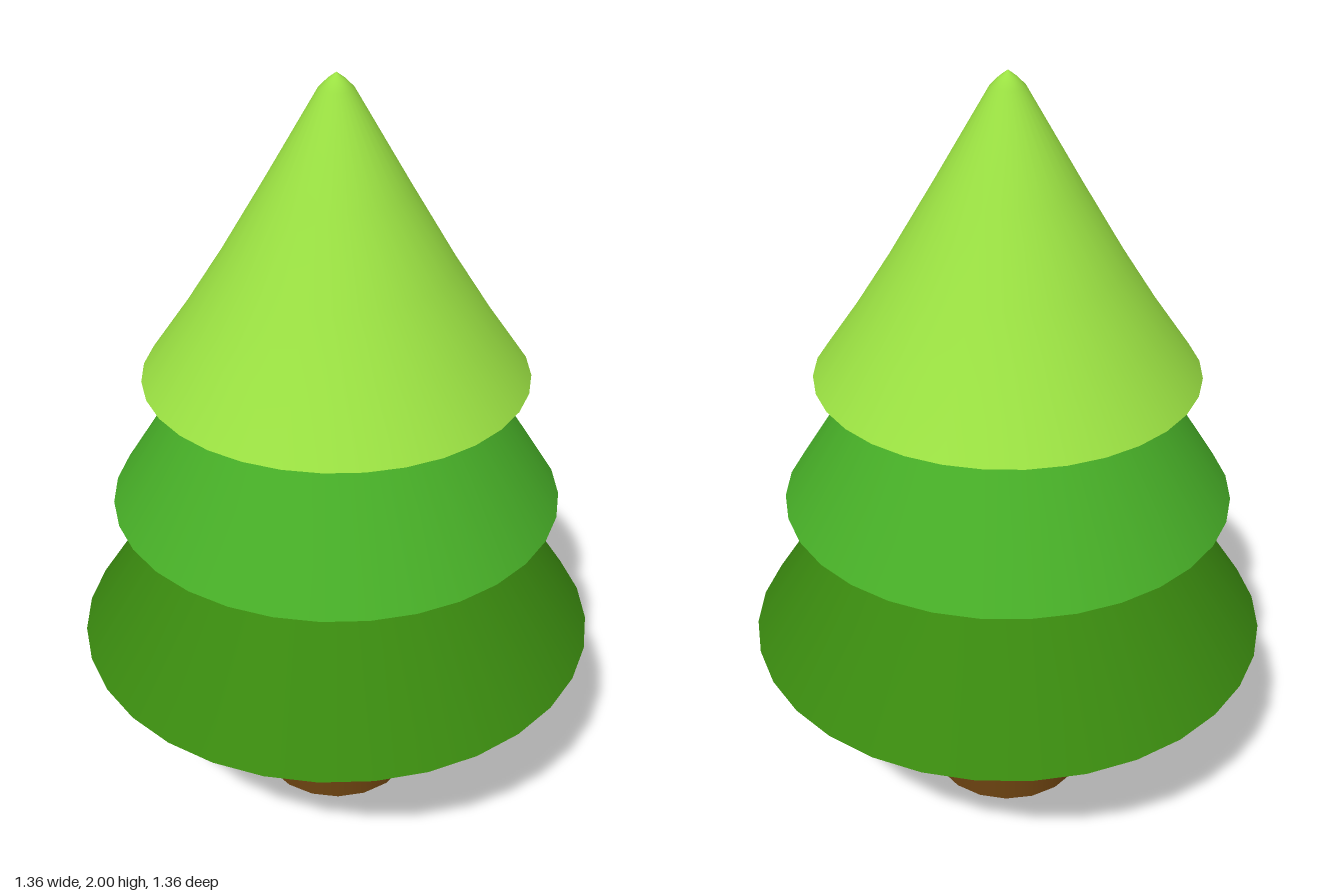
import * as THREE from 'three';

const material = (name, color) => {
  const m = new THREE.MeshStandardMaterial({ color });
  m.name = name;
  return m;
};

// Spun foliage skirt; the rim point is doubled to keep a hard edge at the flat underside
function foliageTier(name, profile, mat) {
  const [rim] = profile;
  const points = [[0, rim[1]], rim, ...profile].map(([r, y]) => new THREE.Vector2(r, y));
  const mesh = new THREE.Mesh(new THREE.LatheGeometry(points, 32), mat);
  mesh.name = name;
  return mesh;
}

export function createModel() {
  const tree = new THREE.Group();
  tree.name = 'pineTree';

  // Trunk, running slightly into the foliage
  const trunk = new THREE.Mesh(
    new THREE.CylinderGeometry(0.213, 0.213, 0.52, 18).rotateY(Math.PI / 2),
    material('bark brown', 0x6b4210)
  );
  trunk.name = 'trunk';
  trunk.position.y = 0.26;
  tree.add(trunk);

  // Three stacked tiers, lighter towards the top
  tree.add(
    foliageTier('lowerFoliage', [[0.678, 0.5], [0.42, 0.9], [0.3, 1.1], [0, 1.2]],
      material('dark green', 0x3a8a0f)),
    foliageTier('middleFoliage', [[0.575, 0.9], [0.362, 1.24], [0.25, 1.43], [0, 1.5]],
      material('mid green', 0x47ae27)),
    foliageTier('topFoliage', [[0.483, 1.245], [0.383, 1.39], [0.288, 1.54], [0.176, 1.73], [0.042, 1.963], [0.02, 1.985], [0, 2]],
      material('light green', 0x9ae042))
  );
  return tree;
}
